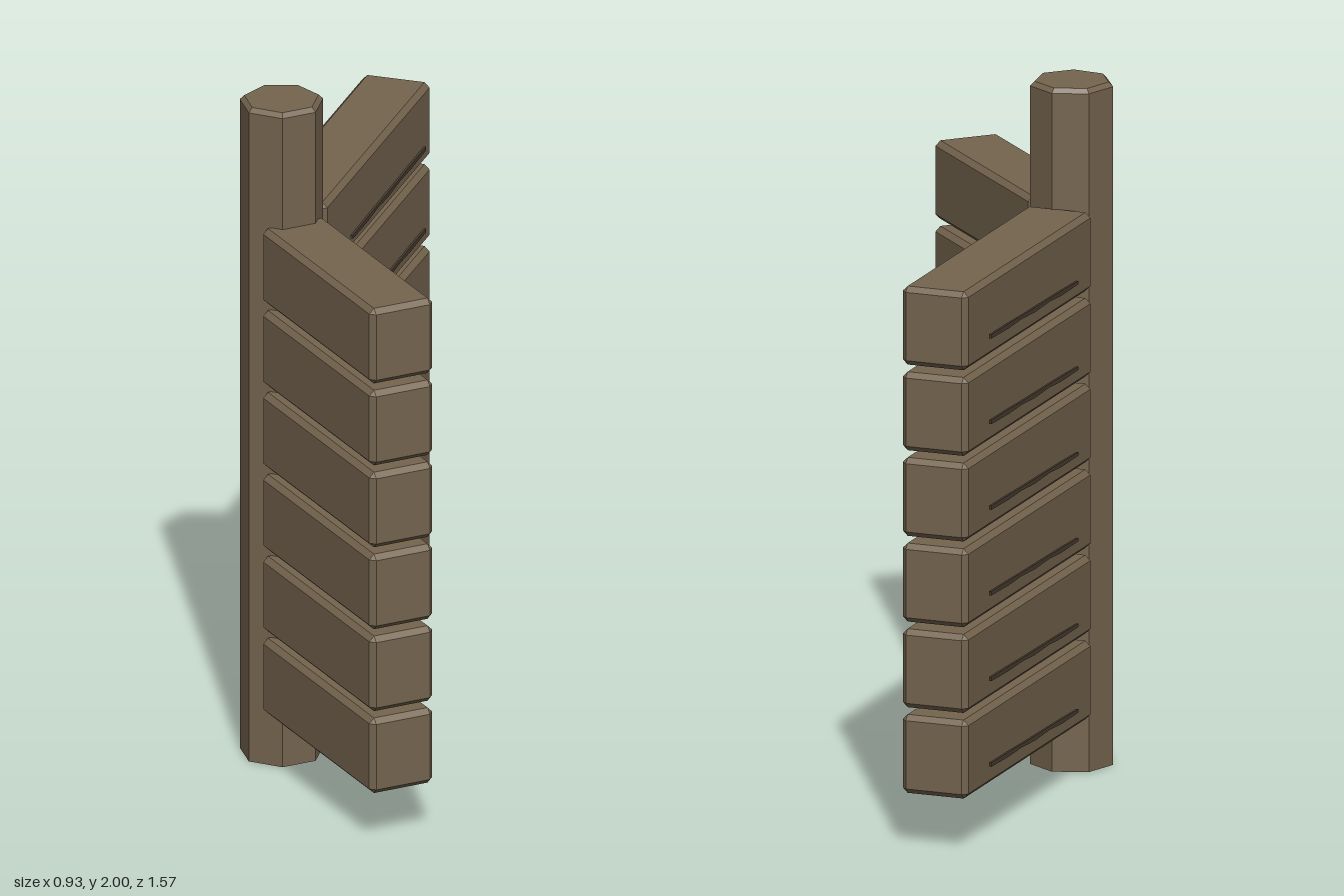
import * as THREE from 'three';
import { ConvexGeometry } from 'three/addons/geometries/ConvexGeometry.js';

const POST = { x: -0.347, z: 0.025, r: 0.121, rim: 0.013 };
const COUNT = 6, FIRST_Y = 0.277, STEP_Y = 0.251;
const THICK = 0.2, HEIGHT = 0.23, BEVEL = 0.015;

// Box with every edge and corner cut flat
function chamferedBox(w, h, d, c) {
  const points = [];
  for (const sx of [-1, 1]) for (const sy of [-1, 1]) for (const sz of [-1, 1]) {
    const x = w / 2, y = h / 2, z = d / 2;
    points.push(
      new THREE.Vector3(sx * x, sy * (y - c), sz * (z - c)),
      new THREE.Vector3(sx * (x - c), sy * y, sz * (z - c)),
      new THREE.Vector3(sx * (x - c), sy * (y - c), sz * z));
  }
  return new ConvexGeometry(points);
}

// Thin uneven split in the wood, running along x
function crackGeometry() {
  const spine = [[-0.333, -0.004, 0.005], [-0.2, -0.003, 0.007], [-0.11, 0, 0.005], [0, -0.001, 0.007],
    [0.1, 0.002, 0.005], [0.2, 0.002, 0.007], [0.333, 0.004, 0.006]];
  const upper = spine.map(([x, y, t]) => new THREE.Vector2(x, y + t));
  const lower = spine.map(([x, y, t]) => new THREE.Vector2(x, y - t)).reverse();
  return new THREE.ExtrudeGeometry(new THREE.Shape([...lower, ...upper]), { depth: 0.007, bevelEnabled: false })
    .translate(0, 0, -0.0035);
}

export function createModel() {
  const wood = new THREE.MeshStandardMaterial({ color: 0x74644e, flatShading: true });
  wood.name = 'brown wood';
  const dark = new THREE.MeshStandardMaterial({ color: 0x483c2f, flatShading: true });
  dark.name = 'dark brown crack';

  const model = new THREE.Group();
  model.name = 'cornerFence';
  const add = (parent, name, geometry, material, x, y, z) => {
    const mesh = new THREE.Mesh(geometry, material);
    mesh.name = name;
    mesh.position.set(x, y, z);
    parent.add(mesh);
  };

  // Seven-sided post with a cut top rim
  const { r, rim } = POST;
  const profile = [[0, 0], [r, 0], [r, 2 - rim], [r - rim, 2], [0, 2]]
    .map(([x, y]) => new THREE.Vector2(x, y));
  add(model, 'post', new THREE.LatheGeometry(profile, 7, Math.PI), wood, POST.x, 0, POST.z);

  // Two wings of stacked logs, one straight forward and one diagonal to the back
  const forwardLog = chamferedBox(THICK, HEIGHT, 0.692, BEVEL);
  const diagonalLog = chamferedBox(0.963, HEIGHT, THICK, BEVEL);
  const crack = crackGeometry();

  const forwardWing = new THREE.Group();
  forwardWing.name = 'forwardWing';
  forwardWing.position.set(-0.347, 0, 0.438);

  const diagonalWing = new THREE.Group();
  diagonalWing.name = 'diagonalWing';
  diagonalWing.position.set(0.0625, 0, -0.386);
  diagonalWing.rotation.y = Math.PI / 4;
  model.add(forwardWing, diagonalWing);

  for (let i = 0; i < COUNT; i++) {
    const y = FIRST_Y + i * STEP_Y;
    add(forwardWing, 'forwardLog', forwardLog, wood, 0, y, 0);
    add(diagonalWing, 'diagonalLog', diagonalLog, wood, 0, y, 0);
    // Cracks stand just off both faces of the diagonal logs
    for (const side of [-1, 1]) add(diagonalWing, 'crack', crack, dark, 0.022, y - 0.044, side * 0.122);
  }
  return model;
}
